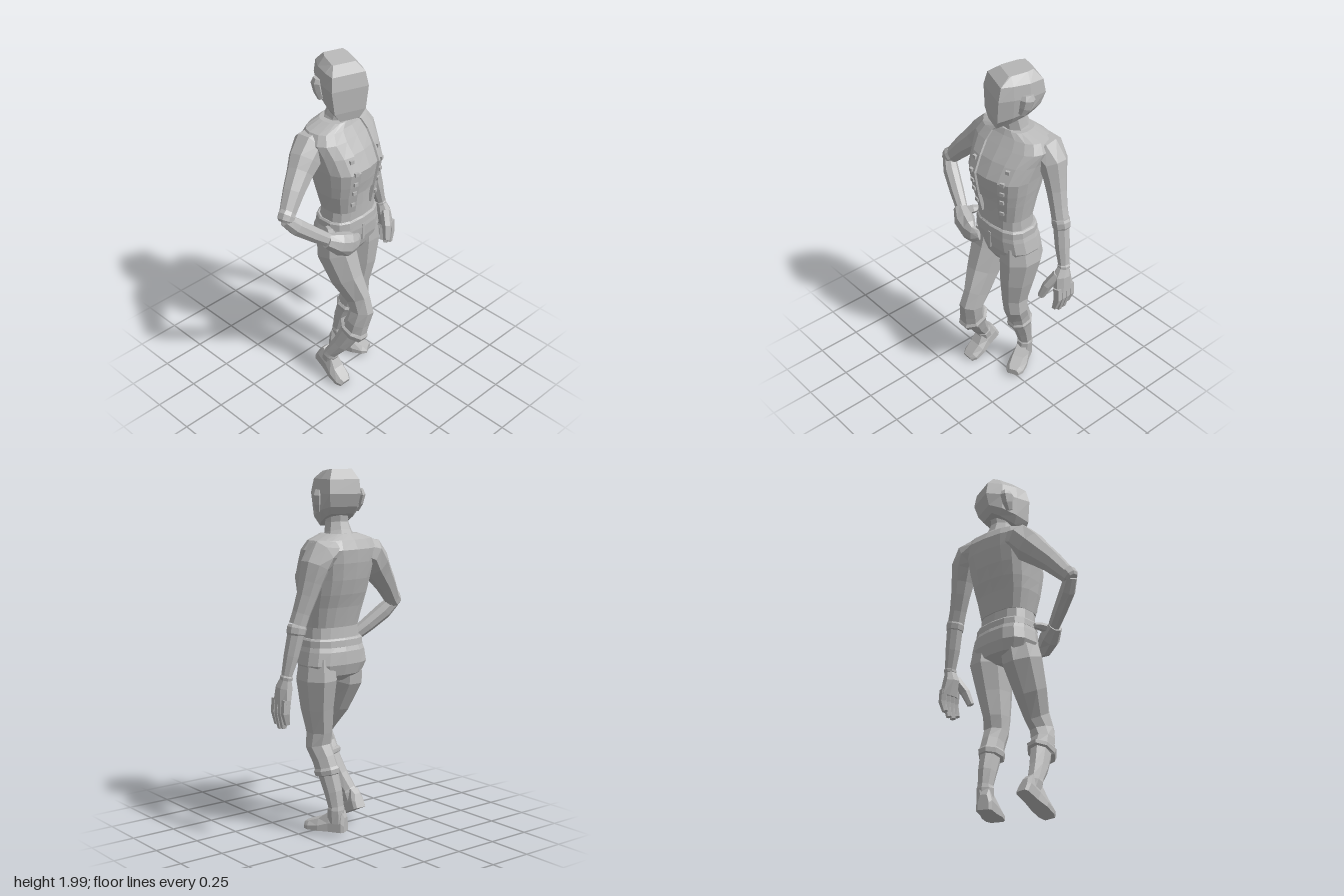
import * as THREE from 'three';

const grey = new THREE.MeshStandardMaterial({ color: 0xb8b8b8 });
grey.name = 'plain grey';

// Faceted skin over a list of rings (arrays of Vector3), with optional end caps
function loft(name, rings, closed = true, caps = true) {
  const pos = [];
  const tri = (...p) => p.forEach((v) => pos.push(v.x, v.y, v.z));
  const n = rings[0].length;
  for (let i = 0; i < rings.length - 1; i++) {
    for (let j = 0; j < (closed ? n : n - 1); j++) {
      const k = (j + 1) % n;
      const [a, b, c, d] = [rings[i][j], rings[i][k], rings[i + 1][k], rings[i + 1][j]];
      tri(a, b, c);
      tri(a, c, d);
    }
  }
  if (caps) {
    [rings[0], rings[rings.length - 1]].forEach((r, end) => {
      const mid = r.reduce((s, p) => s.add(p), new THREE.Vector3()).divideScalar(n);
      for (let j = 0; j < n; j++) {
        const k = (j + 1) % n;
        if (end) tri(mid, r[j], r[k]);
        else tri(mid, r[k], r[j]);
      }
    });
  }
  const g = new THREE.BufferGeometry();
  g.setAttribute('position', new THREE.Float32BufferAttribute(pos, 3));
  g.computeVertexNormals();
  const m = new THREE.Mesh(g, grey);
  m.name = name;
  return m;
}

// Limb along a path of [x, y, z, halfWidth, halfDepth]; ref is the width direction
function limb(name, path, n = 8, ref = new THREE.Vector3(1, 0, 0)) {
  const pts = path.map((p) => new THREE.Vector3(p[0], p[1], p[2]));
  const grow = 1 / Math.cos(Math.PI / n);
  return loft(name, path.map((p, i) => {
    const t = pts[Math.min(i + 1, pts.length - 1)].clone().sub(pts[Math.max(i - 1, 0)]).normalize();
    const u = ref.clone().addScaledVector(t, -ref.dot(t)).normalize();
    const v = t.clone().cross(u);
    return Array.from({ length: n }, (_, j) => {
      const a = ((j + 0.5) / n) * Math.PI * 2;
      return pts[i].clone().addScaledVector(u, p[3] * grow * Math.cos(a))
        .addScaledVector(v, p[4] * grow * Math.sin(a));
    });
  }));
}

// Body section point; row = [y, centre x, half width, front z, back z, yaw]
function bodyPoint([y, cx, rx, zf, zb, yaw], angle, off = 0) {
  const soft = (v) => Math.sign(v) * Math.abs(v) ** 0.75;
  const x = (rx + off) * soft(Math.cos(angle));
  const z = -((zf - zb) / 2 + off) * soft(Math.sin(angle));
  const c = Math.cos(yaw), s = Math.sin(yaw);
  return new THREE.Vector3(cx + x * c + z * s, y, (zf + zb) / 2 - x * s + z * c);
}
const bodyRing = (row, off = 0, n = 14) =>
  Array.from({ length: n }, (_, j) => bodyPoint(row, ((j + 0.5) / n) * Math.PI * 2, off));

const belly = [
  [1.06, 0.045, 0.165, 0.085, -0.14, 0.04],
  [1.18, 0.045, 0.155, 0.085, -0.13, 0.06],
  [1.28, 0.04, 0.165, 0.09, -0.15, 0.08],
];
const chest = [
  [1.16, 0.045, 0.15, 0.085, -0.128, 0.06],
  [1.27, 0.04, 0.17, 0.105, -0.155, 0.09],
  [1.34, 0.04, 0.18, 0.118, -0.18, 0.12],
  [1.42, 0.04, 0.19, 0.13, -0.203, 0.13],
  [1.51, 0.04, 0.203, 0.085, -0.22, 0.13],
  [1.58, 0.04, 0.22, 0.035, -0.225, 0.13],
  [1.63, 0.04, 0.19, 0.0, -0.2, 0.13],
  [1.66, 0.04, 0.095, -0.015, -0.165, 0.13],
];
const hips = [
  [0.86, 0.05, 0.09, 0.05, -0.1, 0],
  [0.9, 0.05, 0.17, 0.075, -0.155, 0],
  [0.96, 0.05, 0.2, 0.09, -0.175, 0],
  [1.03, 0.048, 0.185, 0.095, -0.17, 0],
  [1.095, 0.046, 0.166, 0.09, -0.143, 0.03],
];
function chestAt(y) {
  const i = Math.max(0, chest.findIndex((r) => r[0] >= y) - 1);
  const t = (y - chest[i][0]) / (chest[i + 1][0] - chest[i][0]);
  return chest[i].map((v, k) => v + (chest[i + 1][k] - v) * t);
}

// Shoe pointing along +z, rings of [z, halfWidth, height]
function shoe(name) {
  const rows = [[-0.06, 0.03, 0.08], [-0.045, 0.042, 0.115], [0.03, 0.045, 0.105], [0.09, 0.055, 0.065],
    [0.15, 0.052, 0.045], [0.178, 0.034, 0.035]];
  return loft(name, rows.map(([z, w, h]) =>
    [[-w, 0], [w, 0], [w, h * 0.45], [w * 0.6, h], [-w * 0.6, h], [-w, h * 0.45]]
      .map(([x, y]) => new THREE.Vector3(x, y, z))));
}

export function createModel() {
  const model = new THREE.Group();
  model.name = 'standingFigure';
  const add = (...m) => model.add(...m);

  // Trunk
  add(loft('belly', belly.map((r) => bodyRing(r))));
  add(loft('shirt', chest.slice(1).map((r) => bodyRing(r))));
  add(loft('trouserHips', hips.map((r) => bodyRing(r))));
  add(loft('waistband', [[1.05, -0.005], [1.055, 0.005], [1.09, 0.003], [1.1, -0.005]]
    .map(([y, off]) => bodyRing([y, 0.047, 0.173, 0.091, -0.155, 0.02], off))));

  // Open vest wrapped round the chest, with turned-in edges
  const gap = 0.3, front = Math.PI * 1.5, sides = 16;
  const vestRing = (row, off) => {
    const ring = Array.from({ length: sides + 1 }, (_, j) =>
      bodyPoint(row, front + gap + (j / sides) * (Math.PI * 2 - gap * 2), off));
    return [bodyPoint(row, front + gap, -0.01), ...ring, bodyPoint(row, front - gap, -0.01)];
  };
  add(loft('vest', [vestRing(chest[0], -0.01), ...chest.map((r) => vestRing(r, 0.008)),
    vestRing(chest[7], -0.01)], false, false));

  // Vest studs and trouser fly
  for (const side of [-1, 1]) {
    for (const y of [1.22, 1.3, 1.36, 1.425, 1.49]) {
      const stud = new THREE.Mesh(new THREE.BoxGeometry(0.024, 0.02, 0.016), grey);
      stud.name = 'vestStud';
      stud.position.copy(bodyPoint(chestAt(y), front + side * 0.46, 0.008));
      stud.rotation.y = 0.13 + side * 0.25;
      add(stud);
    }
  }
  const fly = new THREE.Mesh(new THREE.BoxGeometry(0.018, 0.1, 0.009), grey);
  fly.name = 'trouserFly';
  fly.position.set(0.05, 1.0, 0.092);
  add(fly);

  // Neck
  add(limb('neck', [[0.045, 1.6, -0.105, 0.1, 0.08], [0.045, 1.67, -0.09, 0.07, 0.066],
    [0.045, 1.72, -0.08, 0.058, 0.06], [0.045, 1.79, -0.085, 0.058, 0.062]]));

  // Head, turned to its right; rows are [y, tilt, faceHalf, faceZ, sideHalf, backHalf, backZ]
  const head = new THREE.Group();
  head.name = 'head';
  head.position.set(0.045, 0, -0.085);
  head.rotation.y = -0.34;
  head.add(loft('skull', [
    [1.735, -0.35, 0.055, 0.125, 0.075, 0.06, -0.085],
    [1.775, -0.25, 0.088, 0.132, 0.102, 0.075, -0.11],
    [1.87, 0, 0.104, 0.132, 0.113, 0.085, -0.132],
    [1.945, 0, 0.093, 0.115, 0.103, 0.08, -0.12],
    [1.99, -0.1, 0.062, 0.06, 0.066, 0.055, -0.075],
  ].map(([y, tilt, f, zf, w, b, zb]) =>
    [[w, -0.04], [b, zb], [-b, zb], [-w, -0.04], [-w, 0.05], [-f, zf], [f, zf], [w, 0.05]]
      .map(([x, z]) => new THREE.Vector3(x, y + tilt * z, z)))));
  for (const s of [-1, 1]) {
    head.add(limb(s > 0 ? 'leftEar' : 'rightEar', [[s * 0.106, 1.78, 0.005, 0.014, 0.018],
      [s * 0.116, 1.82, -0.01, 0.02, 0.03], [s * 0.122, 1.865, -0.02, 0.022, 0.036],
      [s * 0.116, 1.89, -0.02, 0.016, 0.026]], 6));
  }
  add(head);

  // Left leg, bearing the weight
  add(limb('leftTrouserLeg', [[0.15, 0.99, -0.04, 0.085, 0.11], [0.155, 0.88, -0.045, 0.1, 0.122],
    [0.142, 0.72, -0.032, 0.082, 0.1], [0.125, 0.58, -0.03, 0.066, 0.076], [0.13, 0.5, -0.028, 0.068, 0.064],
    [0.12, 0.43, -0.058, 0.058, 0.064], [0.113, 0.375, -0.078, 0.058, 0.065]]));
  add(limb('leftKneeBand', [[0.113, 0.385, -0.075, 0.058, 0.065], [0.112, 0.37, -0.078, 0.067, 0.073],
    [0.11, 0.345, -0.083, 0.062, 0.069], [0.11, 0.335, -0.085, 0.048, 0.055]]));
  add(limb('leftShin', [[0.11, 0.35, -0.088, 0.052, 0.056], [0.1, 0.25, -0.12, 0.047, 0.048],
    [0.095, 0.17, -0.138, 0.041, 0.038], [0.095, 0.155, -0.138, 0.046, 0.043], [0.095, 0.08, -0.135, 0.04, 0.047]]));
  const leftShoe = shoe('leftShoe');
  leftShoe.position.set(0.09, 0.03, -0.13);
  leftShoe.rotation.y = 0.5;
  add(leftShoe);

  // Right leg, bent with the heel raised
  add(limb('rightTrouserLeg', [[-0.045, 0.99, -0.03, 0.085, 0.11], [-0.053, 0.87, -0.01, 0.1, 0.118],
    [-0.045, 0.72, 0.06, 0.08, 0.1], [-0.025, 0.6, 0.128, 0.054, 0.082], [-0.028, 0.53, 0.163, 0.056, 0.072],
    [-0.045, 0.46, 0.152, 0.062, 0.064], [-0.055, 0.4, 0.135, 0.06, 0.073]]));
  add(limb('rightKneeBand', [[-0.053, 0.415, 0.137, 0.06, 0.073], [-0.055, 0.4, 0.132, 0.07, 0.087],
    [-0.06, 0.375, 0.122, 0.065, 0.081], [-0.063, 0.365, 0.115, 0.05, 0.058]]));
  add(limb('rightShin', [[-0.06, 0.38, 0.12, 0.053, 0.06], [-0.09, 0.27, 0.068, 0.048, 0.05],
    [-0.117, 0.19, 0.016, 0.042, 0.037], [-0.119, 0.175, 0.008, 0.046, 0.042], [-0.12, 0.11, -0.015, 0.039, 0.044]]));
  const rightShoe = shoe('rightShoe');
  rightShoe.position.set(-0.12, 0.083, -0.04);
  rightShoe.rotation.x = 0.45;
  add(rightShoe);

  // Left arm, hanging
  add(limb('leftSleeve', [[0.13, 1.575, -0.15, 0.06, 0.075], [0.215, 1.558, -0.16, 0.078, 0.085],
    [0.256, 1.5, -0.165, 0.072, 0.076], [0.28, 1.42, -0.16, 0.06, 0.062], [0.3, 1.35, -0.155, 0.053, 0.053],
    [0.33, 1.26, -0.145, 0.046, 0.046], [0.35, 1.2, -0.14, 0.045, 0.045]]));
  add(limb('leftCuff', [[0.352, 1.2, -0.14, 0.044, 0.044], [0.355, 1.185, -0.14, 0.05, 0.048],
    [0.362, 1.155, -0.14, 0.048, 0.046], [0.363, 1.145, -0.14, 0.04, 0.04]]));
  add(limb('leftForearm', [[0.36, 1.16, -0.14, 0.043, 0.043], [0.385, 1.04, -0.13, 0.038, 0.04],
    [0.41, 0.935, -0.122, 0.027, 0.031], [0.411, 0.93, -0.122, 0.032, 0.035], [0.412, 0.915, -0.12, 0.032, 0.034]]));
  add(limb('leftPalm', [[0.412, 0.925, -0.12, 0.024, 0.03], [0.415, 0.87, -0.105, 0.04, 0.05],
    [0.43, 0.78, -0.105, 0.03, 0.06]]));
  for (let i = 0; i < 4; i++) {
    const z = -0.148 + i * 0.03, tip = [0.68, 0.655, 0.65, 0.67][i];
    add(limb('leftFinger', [[0.43, 0.81, z, 0.024, 0.017], [0.437, 0.74, z, 0.022, 0.017],
      [0.422, tip, z + 0.006, 0.014, 0.013]], 5));
  }
  add(limb('leftThumb', [[0.41, 0.88, -0.08, 0.026, 0.028], [0.378, 0.81, -0.035, 0.024, 0.025],
    [0.355, 0.735, -0.012, 0.017, 0.018]], 6));

  // Right arm, hand on hip
  const zAxis = new THREE.Vector3(0, 0, 1);
  add(limb('rightSleeve', [[-0.06, 1.57, -0.11, 0.08, 0.06], [-0.145, 1.545, -0.11, 0.088, 0.085],
    [-0.2, 1.485, -0.095, 0.08, 0.085], [-0.25, 1.435, -0.078, 0.066, 0.072],
    [-0.325, 1.36, -0.05, 0.054, 0.057], [-0.4, 1.27, -0.02, 0.041, 0.043]], 8, zAxis));
  add(limb('rightCuff', [[-0.39, 1.285, -0.02, 0.038, 0.042], [-0.405, 1.27, -0.017, 0.043, 0.048],
    [-0.422, 1.247, -0.012, 0.041, 0.043], [-0.43, 1.237, -0.01, 0.03, 0.03]], 8, zAxis));
  add(limb('rightForearm', [[-0.42, 1.25, -0.012, 0.034, 0.033], [-0.37, 1.195, 0.015, 0.04, 0.044],
    [-0.28, 1.12, 0.05, 0.036, 0.04], [-0.19, 1.05, 0.085, 0.028, 0.034]], 8, zAxis));
  add(limb('rightHand', [[-0.215, 1.06, 0.08, 0.036, 0.038], [-0.15, 1.022, 0.105, 0.052, 0.06],
    [-0.09, 1.0, 0.125, 0.038, 0.066], [-0.045, 0.995, 0.13, 0.022, 0.05], [-0.01, 1.005, 0.118, 0.012, 0.03]], 8, zAxis));
  add(limb('rightThumb', [[-0.18, 1.05, 0.08, 0.022, 0.024], [-0.15, 1.065, 0.04, 0.02, 0.022],
    [-0.135, 1.065, 0.0, 0.014, 0.014]], 6, new THREE.Vector3(0, 1, 0)));

  return model;
}
